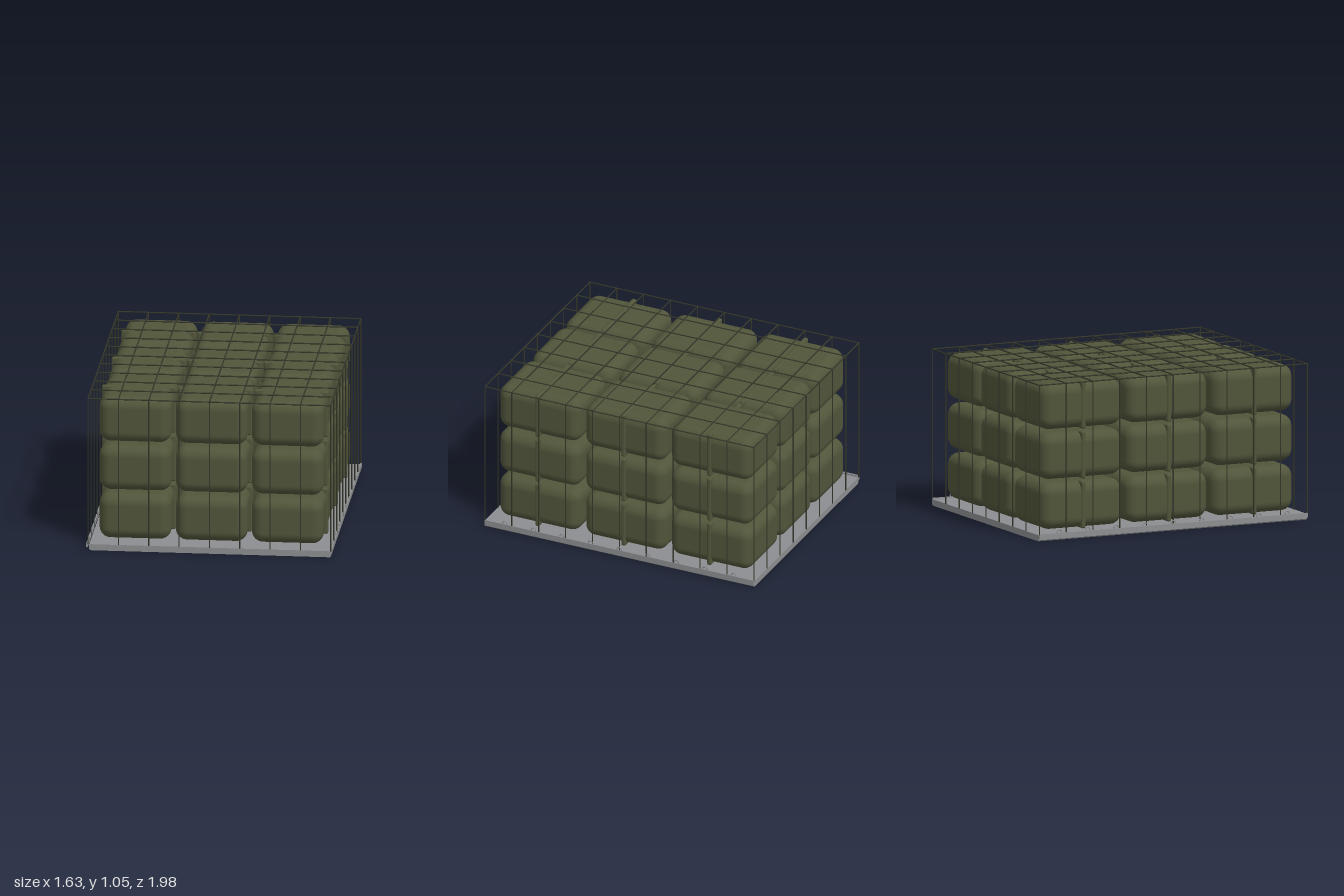
import * as THREE from 'three';
import { RoundedBoxGeometry } from 'three/addons/geometries/RoundedBoxGeometry.js';

const olive = new THREE.MeshStandardMaterial({ color: 0x51553a });
olive.name = 'olive canvas';
const grey = new THREE.MeshStandardMaterial({ color: 0x8d8e91 });
grey.name = 'grey pallet';
const dark = new THREE.MeshStandardMaterial({ color: 0x35382a });
dark.name = 'dark cord';

const HX = 0.808, HZ = 0.987, TOP = 1.055, DECK = 0.042, CORD = 0.0045;

function add(parent, name, geometry, material, x = 0, y = 0, z = 0) {
  const mesh = new THREE.Mesh(geometry, material);
  mesh.name = name;
  mesh.position.set(x, y, z);
  parent.add(mesh);
  return mesh;
}

const box = (w, h, d) => new THREE.BoxGeometry(w, h, d);
const cord = (length) => new THREE.CylinderGeometry(CORD, CORD, length, 6);

function createPallet() {
  const pallet = new THREE.Group();
  pallet.name = 'pallet';

  // Deck with slightly chamfered lower edges
  const w = 0.805, c = 0.008;
  const profile = new THREE.Shape([
    [-w + c, 0], [w - c, 0], [w, c], [w, DECK], [-w, DECK], [-w, c],
  ].map(([x, y]) => new THREE.Vector2(x, y)));
  const deck = new THREE.ExtrudeGeometry(profile, { depth: 1.976, bevelEnabled: false });
  add(pallet, 'deck', deck, grey, 0.005, 0, -0.988);

  const ring = new THREE.TorusGeometry(0.016, 0.004, 8, 14);
  for (const side of [-1, 1]) {
    // Thin edge rail with a row of tie-down rings
    add(pallet, 'edgeRail', box(0.01, 0.03, 1.976), grey, side > 0 ? 0.809 : -0.815, 0.035, 0);
    for (let i = 0; i < 9; i++) {
      add(pallet, 'tieRing', ring, grey, side * 0.809, 0.055, (i - 4) * 0.21)
        .rotation.y = Math.PI / 2;
    }
  }
  return pallet;
}

function createCargo() {
  const cargo = new THREE.Group();
  cargo.name = 'cargo';
  const bale = new RoundedBoxGeometry(0.478, 0.31, 0.598, 6, 0.075);
  const strap = new RoundedBoxGeometry(0.492, 0.316, 0.032, 3, 0.012);
  for (let row = 0; row < 3; row++) {
    for (let col = -1; col <= 1; col++) {
      for (let rank = -1; rank <= 1; rank++) {
        const x = 0.002 + col * 0.507, y = 0.212 + row * 0.335, z = rank * 0.63;
        add(cargo, 'bale', bale, olive, x, y, z);
        // Square strap frame, showing mainly at the bale's rounded edges
        add(cargo, 'strapFrame', strap, olive, x, y, z);
      }
    }
  }
  return cargo;
}

function createNet() {
  const net = new THREE.Group();
  net.name = 'cargoNet';
  const height = TOP - DECK;
  const upright = cord(height);
  const across = cord(HX * 2).rotateZ(Math.PI / 2);
  const along = cord(HZ * 2).rotateX(Math.PI / 2);
  const midY = DECK + height / 2;

  // Lengthwise cords with their front and back drops
  for (let i = 0; i <= 8; i++) {
    const x = -HX + (i / 8) * HX * 2;
    add(net, 'lengthCord', along, dark, x, TOP - CORD, 0);
    for (const z of [-HZ, HZ]) add(net, 'endDrop', upright, dark, x, midY, z);
  }
  // Crosswise cords with their side drops
  for (let i = 0; i <= 10; i++) {
    const z = -HZ + (i / 10) * HZ * 2;
    add(net, 'crossCord', across, dark, 0, TOP - CORD, z);
    if (i === 0 || i === 10) continue;
    for (const x of [-HX, HX]) add(net, 'sideDrop', upright, dark, x, midY, z);
  }
  return net;
}

export function createModel() {
  const model = new THREE.Group();
  model.name = 'palletLoad';
  model.add(createPallet(), createCargo(), createNet());
  return model;
}
